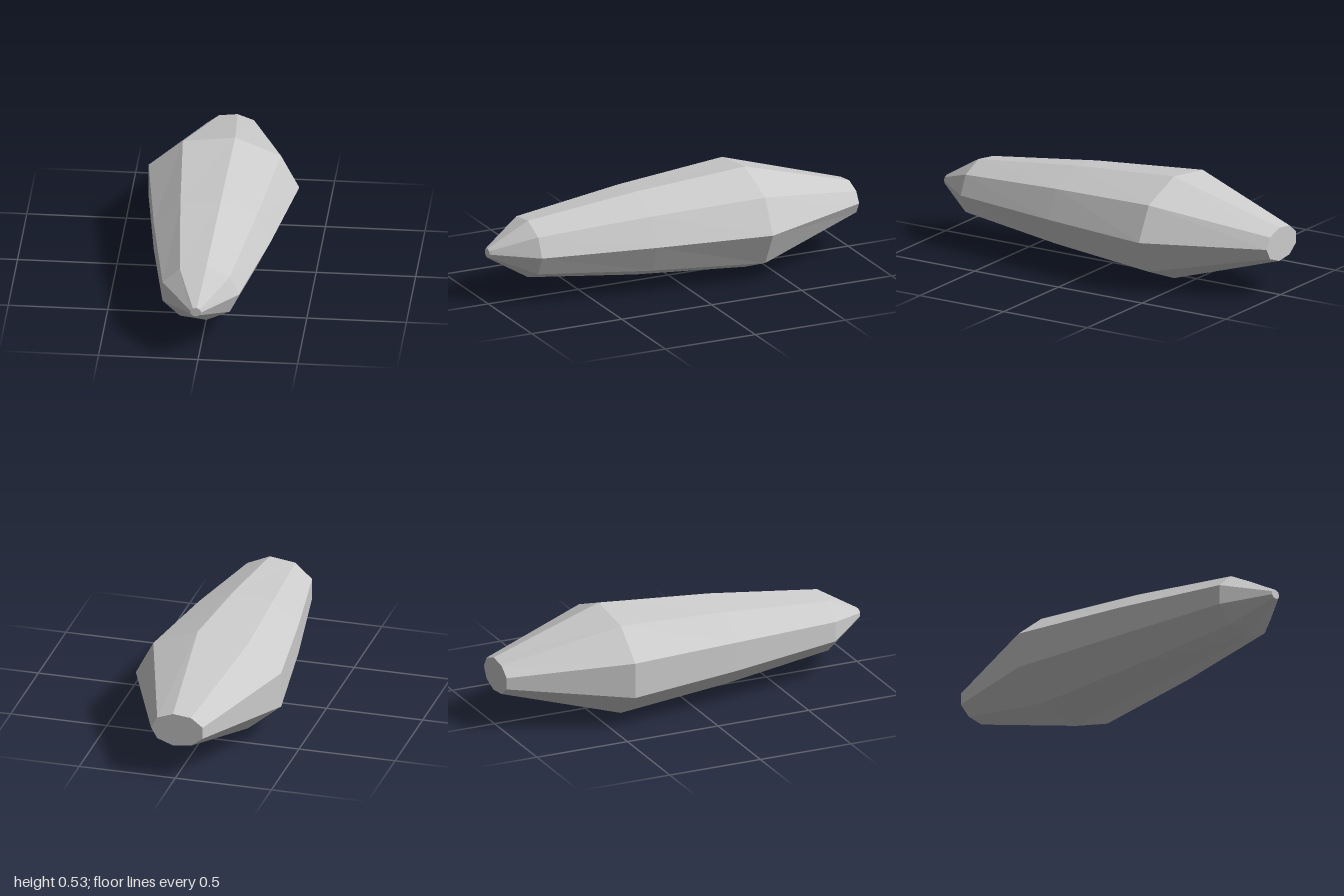
import * as THREE from 'three';

const SIDES = 9;
const CENTER_X = -0.012, CENTER_Y = 0.268;

// Cross-sections from front tip to back: [z, half width, half height]
const RINGS = [
  [1.0, 0.028, 0.024],
  [0.99, 0.037, 0.031],
  [0.79, 0.198, 0.152],
  [0.2, 0.303, 0.223],
  [-0.4, 0.39, 0.27],
  [-1.0, 0.139, 0.088],
];

// Nine-sided loft through the rings, closed with a fan at each end
function loft(rings) {
  const positions = [], index = [];
  for (const [z, a, b] of rings) {
    for (let i = 0; i < SIDES; i++) {
      const t = (i / SIDES) * Math.PI * 2;
      positions.push(CENTER_X + a * Math.cos(t), CENTER_Y + b * Math.sin(t), z);
    }
  }
  const last = (rings.length - 1) * SIDES;
  const frontCenter = last + SIDES, backCenter = frontCenter + 1;
  positions.push(CENTER_X, CENTER_Y, rings[0][0]);
  positions.push(CENTER_X, CENTER_Y, rings[rings.length - 1][0]);

  for (let i = 0; i < SIDES; i++) {
    const j = (i + 1) % SIDES;
    for (let r = 0; r < last; r += SIDES) {
      const p = r + i, q = r + j;
      index.push(p, p + SIDES, q, q, p + SIDES, q + SIDES);
    }
    index.push(frontCenter, i, j, backCenter, last + j, last + i);
  }
  const geometry = new THREE.BufferGeometry();
  geometry.setAttribute('position', new THREE.Float32BufferAttribute(positions, 3));
  geometry.setIndex(index);
  const faceted = geometry.toNonIndexed();
  faceted.computeVertexNormals();
  return faceted;
}

export function createModel() {
  const group = new THREE.Group();
  group.name = 'crystal';
  const material = new THREE.MeshStandardMaterial({ color: 0xcccccc, flatShading: true });

  // Single faceted shard: pointed front, widest behind the middle, flat cut back
  const shard = new THREE.Mesh(loft(RINGS), material);
  shard.name = 'shard';
  group.add(shard);
  return group;
}
